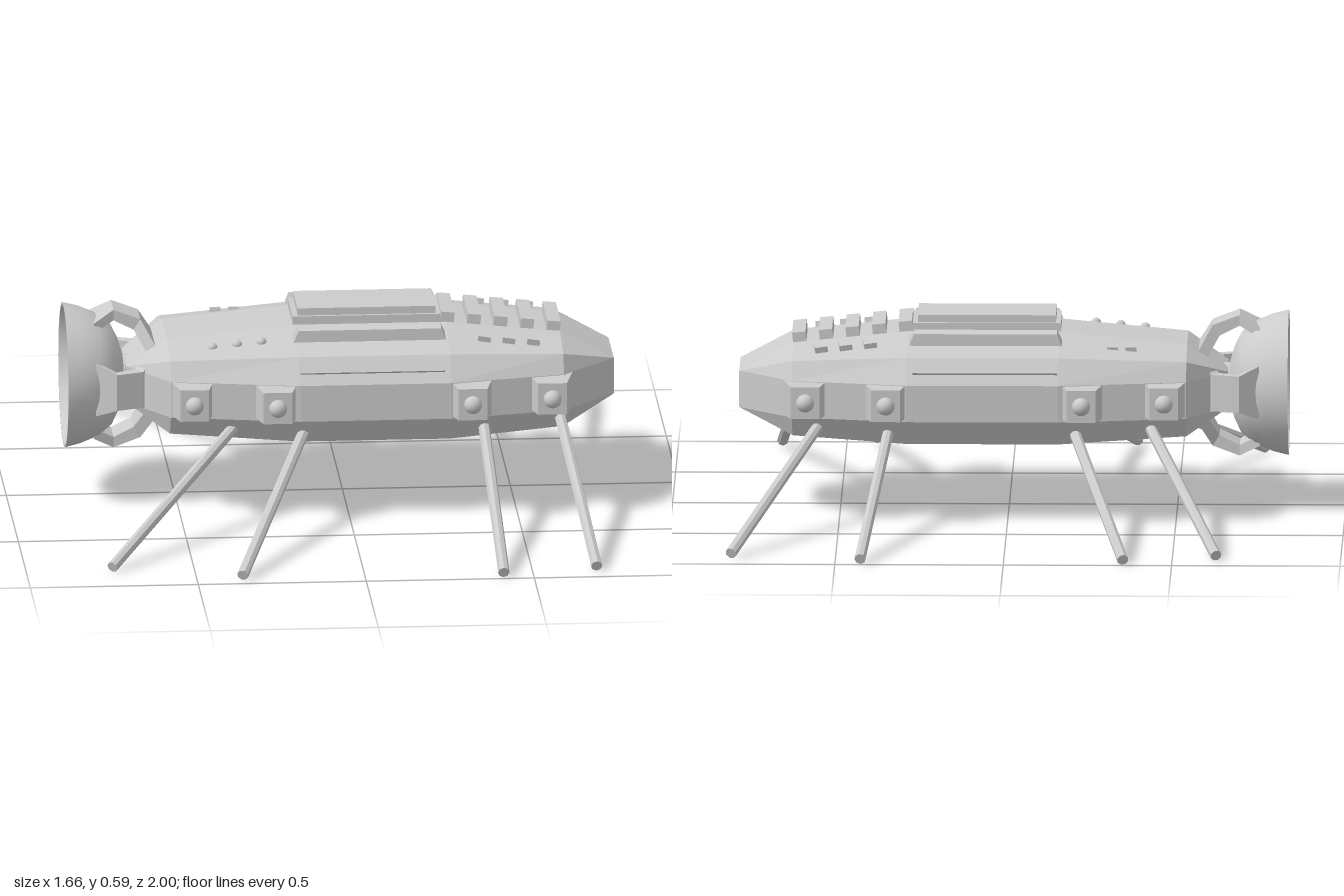
import * as THREE from 'three';

const material = new THREE.MeshStandardMaterial({ color: 0xcccccc, flatShading: true });
const smooth = new THREE.MeshStandardMaterial({ color: 0xcccccc, side: THREE.DoubleSide });
const AXIS_Y = 0.37;

// Skin a run of rings (each counter-clockwise seen from the far end) and cap both ends
function loft(rings) {
  const pos = [];
  const tri = (...pts) => pts.forEach((p) => pos.push(...p));
  const n = rings[0].length;
  for (let s = 0; s < rings.length - 1; s++) {
    const a = rings[s], b = rings[s + 1];
    for (let i = 0; i < n; i++) {
      const j = (i + 1) % n;
      tri(a[i], a[j], b[i]);
      tri(a[j], b[j], b[i]);
    }
  }
  const first = rings[0], last = rings[rings.length - 1];
  for (let i = 1; i < n - 1; i++) {
    tri(first[0], first[i + 1], first[i]);
    tri(last[0], last[i], last[i + 1]);
  }
  const geo = new THREE.BufferGeometry();
  geo.setAttribute('position', new THREE.Float32BufferAttribute(pos, 3));
  geo.computeVertexNormals();
  return geo;
}

// Box whose positive face on one axis is shrunk by the given amounts on the other two
function taperedBox(w, h, d, axis, insetA, insetB) {
  const geo = new THREE.BoxGeometry(w, h, d).toNonIndexed();
  const p = geo.attributes.position;
  const others = [0, 1, 2].filter((k) => k !== axis);
  for (let i = 0; i < p.count; i++) {
    if (p.getComponent(i, axis) < 0) continue;
    others.forEach((k, m) => {
      const v = p.getComponent(i, k);
      p.setComponent(i, k, v - Math.sign(v) * (m ? insetB : insetA));
    });
  }
  geo.computeVertexNormals();
  return geo;
}

export function createModel() {
  const model = new THREE.Group();
  const add = (name, geo, x = 0, y = 0, z = 0, mat = material, parent = model) => {
    const mesh = new THREE.Mesh(geo, mat);
    mesh.name = name;
    mesh.position.set(x, y, z);
    parent.add(mesh);
    return mesh;
  };

  // Faceted hull: x, side z, shoulder z/y, ridge z/y, chine z/y, keel z/y
  const stations = [
    [-0.65, 0.10, 0.10, 0.42, 0.10, 0.42, 0.10, 0.31, 0.10, 0.31],
    [-0.53, 0.28, 0.25, 0.475, 0.11, 0.505, 0.24, 0.25, 0.11, 0.235],
    [-0.15, 0.35, 0.30, 0.495, 0.11, 0.54, 0.30, 0.235, 0.11, 0.20],
    [0.30, 0.35, 0.30, 0.495, 0.11, 0.54, 0.30, 0.235, 0.11, 0.20],
    [0.64, 0.28, 0.25, 0.475, 0.11, 0.505, 0.24, 0.25, 0.11, 0.225],
    [0.80, 0.11, 0.11, 0.42, 0.11, 0.42, 0.11, 0.31, 0.11, 0.31],
  ];
  add('hull', loft(stations.map(([x, w, sz, sy, rz, ry, cz, cy, kz, ky]) => {
    const half = [[rz, ry], [sz, sy], [w, 0.42], [w, 0.31], [cz, cy], [kz, ky]];
    return [
      ...half.map(([z, y]) => [x, y, z]),
      ...half.slice().reverse().map(([z, y]) => [x, y, -z]),
    ];
  })));

  // Raised roof hatch in two layers
  add('hatchBase', new THREE.BoxGeometry(0.44, 0.04, 0.21), 0.065, 0.545, 0);
  add('hatchLid', new THREE.BoxGeometry(0.41, 0.024, 0.19), 0.065, 0.575, 0);

  // Roof slats, following the falling nose
  for (let i = 0; i < 5; i++) {
    const slat = add('roofSlat', new THREE.BoxGeometry(0.04, 0.045, 0.21),
      0.305 + i * 0.079, 0.547 - i * 0.0085, 0);
    slat.rotation.z = -0.1;
  }

  for (const side of [1, -1]) {
    // Long roof rails and side trim bars
    const rail = add('roofRail', taperedBox(0.465, 0.05, 0.06, 1, 0.02, 0.013), 0.067, 0.53, side * 0.19);
    rail.rotation.x = side * 0.23;
    const bar = add('sideBar', new THREE.BoxGeometry(0.43, 0.028, 0.025), 0.067, 0.461, side * 0.322);
    bar.rotation.x = -side * 0.58;

    // Small roof blocks
    for (let i = 0; i < 3; i++) {
      const block = add('roofBlock', new THREE.BoxGeometry(0.038, 0.036, 0.05),
        0.41 + i * 0.073, 0.51 - i * 0.006, side * 0.185);
      block.rotation.set(side * 0.22, -side * 0.12, -0.1);
    }
  }

  // Rear roof details: three studs on one side, two tabs on the other
  for (let i = 0; i < 3; i++) {
    add('roofStud', new THREE.SphereGeometry(0.015, 12, 8), -0.40 + i * 0.073, 0.499 + i * 0.007, 0.19, smooth);
  }
  for (const x of [-0.365, -0.31]) {
    add('roofTab', new THREE.BoxGeometry(0.032, 0.022, 0.025), x, 0.503, -0.19).rotation.x = -0.2;
  }

  // Side pods with a round lamp: x and outer z
  for (const [x, z] of [[-0.465, 0.36], [-0.22, 0.405], [0.36, 0.405], [0.60, 0.36]]) {
    for (const side of [1, -1]) {
      const pod = new THREE.Group();
      pod.name = 'sidePod';
      pod.position.set(x, AXIS_Y - 0.002, side * (z - 0.06));
      if (side < 0) pod.rotation.y = Math.PI;
      add('podHousing', taperedBox(0.14, 0.104, 0.12, 2, 0.027, 0.004), 0, 0, 0, material, pod);
      add('podLamp', new THREE.SphereGeometry(0.027, 16, 12), 0, 0, 0.063, smooth, pod);
      model.add(pod);
    }
  }

  // Splayed rod legs: hip x, foot x, foot z
  const legs = [
    [-0.33, -0.745, 0.85], [-0.12, -0.365, 0.965], [0.40, 0.41, 0.99], [0.63, 0.69, 0.94],
    [-0.42, -0.63, -0.92], [-0.19, -0.355, -0.995], [0.35, 0.425, -0.995], [0.56, 0.81, -0.91],
  ];
  for (const [hipX, footX, footZ] of legs) {
    const hip = new THREE.Vector3(hipX, 0.285, Math.sign(footZ) * 0.26);
    const foot = new THREE.Vector3(footX, 0.016, footZ);
    const dir = foot.clone().sub(hip);
    const leg = add('leg', new THREE.CylinderGeometry(0.017, 0.017, dir.length(), 8));
    leg.position.copy(hip).addScaledVector(dir, 0.5);
    leg.quaternion.setFromUnitVectors(new THREE.Vector3(0, 1, 0), dir.normalize());
  }

  // Engine at the rear, built around the x axis
  const engine = new THREE.Group();
  engine.name = 'engine';
  engine.position.y = AXIS_Y;
  model.add(engine);

  // Bell: outer bowl, then the rim and the inner dish (radius, x)
  const bowl = [[0.06, -0.655], [0.11, -0.67], [0.15, -0.69], [0.183, -0.73], [0.205, -0.785], [0.216, -0.83]];
  const dish = [[0.208, -0.83], [0.18, -0.785], [0.145, -0.745], [0.105, -0.715]];
  const lathe = (pts) => new THREE.LatheGeometry(pts.map(([r, x]) => new THREE.Vector2(r, x)), 40).rotateZ(-Math.PI / 2);
  add('engineBell', lathe(bowl), 0, 0, 0, smooth, engine);
  add('engineRim', lathe([bowl[5], dish[0]]), 0, 0, 0, smooth, engine);
  add('engineDish', lathe(dish), 0, 0, 0, smooth, engine);
  add('engineCore', lathe([[0.106, -0.715], [0, -0.715]]), 0, 0, 0, smooth, engine);
  add('engineNeck', new THREE.CylinderGeometry(0.06, 0.06, 0.08, 24).rotateZ(Math.PI / 2), -0.65, 0, 0, smooth, engine);

  // Four bent struts holding the bell: x, radius, half width
  const strutPath = [[-0.745, 0.178, 0.08], [-0.685, 0.212, 0.055], [-0.605, 0.182, 0.055], [-0.56, 0.105, 0.10]];
  const strut = loft(strutPath.map(([x, r, w], i) => {
    const inX = x - (i > 1 ? 0.02 : 0), inR = r - 0.032;
    return [[x, r, w], [inX, inR, w], [inX, inR, -w], [x, r, -w]];
  }));
  for (let k = 0; k < 4; k++) {
    add('engineStrut', strut, 0, 0, 0, material, engine).rotation.x = k * Math.PI / 2;
  }

  return model;
}
